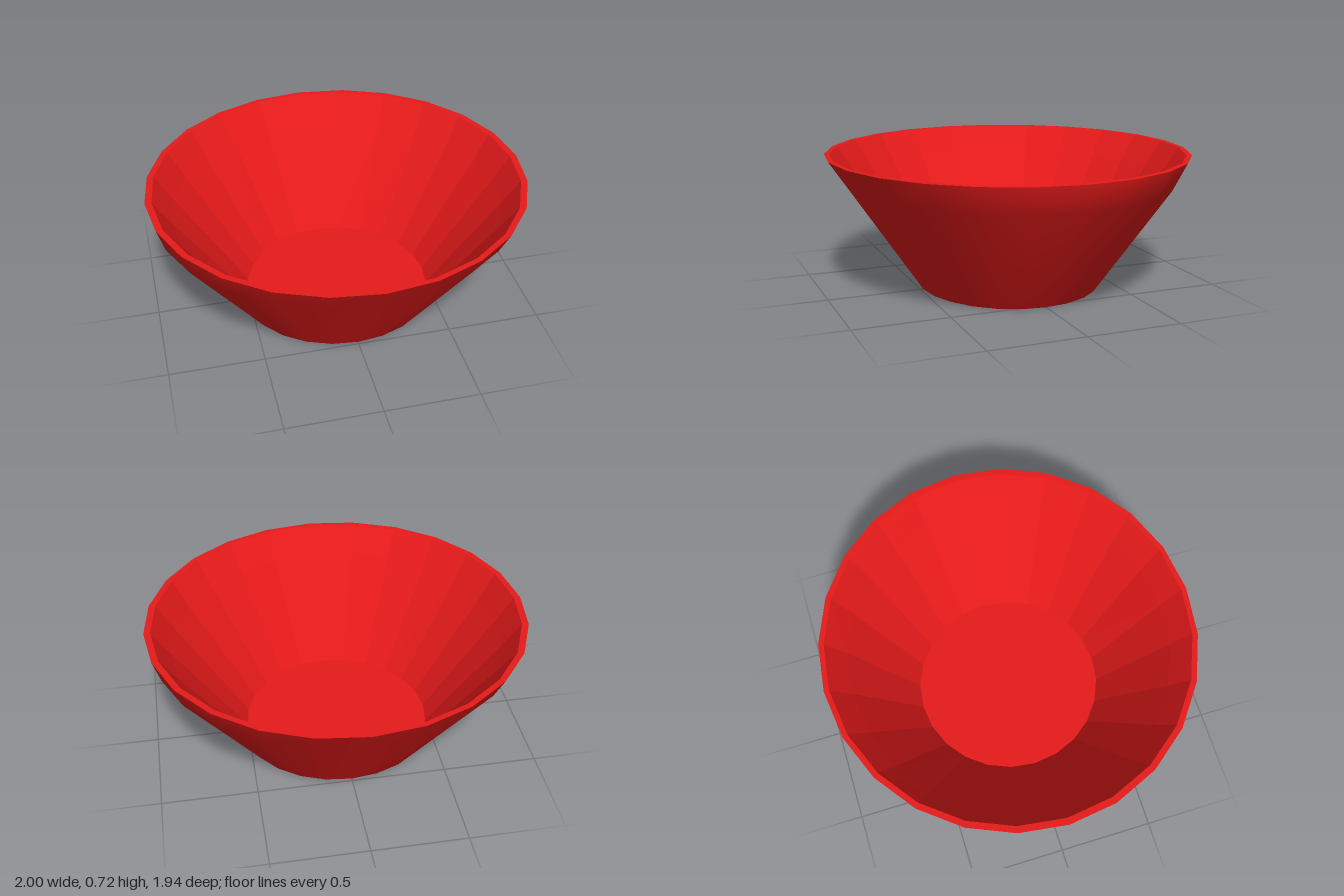
import * as THREE from 'three';

const SIDES = 24;

// Skin a run of horizontal ellipses, each [radiusX, radiusZ, y]
function loft(name, rings, flatShading) {
  const positions = [], index = [];
  for (const [rx, rz, y] of rings) {
    for (let i = 0; i < SIDES; i++) {
      const a = (i / SIDES) * Math.PI * 2;
      positions.push(rx * Math.cos(a), y, rz * Math.sin(a));
    }
  }
  for (let j = 0; j < rings.length - 1; j++) {
    for (let i = 0; i < SIDES; i++) {
      const next = (i + 1) % SIDES;
      const a = j * SIDES + i, b = j * SIDES + next;
      const c = a + SIDES, d = b + SIDES;
      index.push(a, c, b, b, c, d);
    }
  }
  const geometry = new THREE.BufferGeometry();
  geometry.setAttribute('position', new THREE.Float32BufferAttribute(positions, 3));
  geometry.setIndex(index);
  geometry.computeVertexNormals();
  const material = new THREE.MeshStandardMaterial({ color: 0xe61a1a, flatShading });
  const mesh = new THREE.Mesh(geometry, material);
  mesh.name = name;
  return mesh;
}

export function createModel() {
  const bowl = new THREE.Group();
  bowl.name = 'bowl';

  // Shared rings, oval and bulging towards the sides on the outside
  const footOuter = [0.53, 0.485, 0];
  const footInner = [0.522, 0.478, 0];
  const baseEdge = [0.525, 0.485, 0.033];
  const rimOuter = [1, 0.97, 0.72];
  const rimInner = [0.965, 0.943, 0.72];
  const floorEdge = [0.5, 0.505, 0.04];

  bowl.add(
    // Slightly recessed underside inside a thin foot
    loft('underside', [[0, 0, 0.033], baseEdge], true),
    loft('foot', [baseEdge, footInner, footOuter], true),
    // Smooth outside wall
    loft('outerWall', [footOuter, [0.96, 0.875, 0.58], rimOuter], false),
    loft('rim', [rimOuter, rimInner], true),
    // Faceted inside wall and flat floor
    loft('innerWall', [rimInner, [0.875, 0.845, 0.58], floorEdge], true),
    loft('floor', [floorEdge, [0, 0, 0.04]], true),
  );
  return bowl;
}
